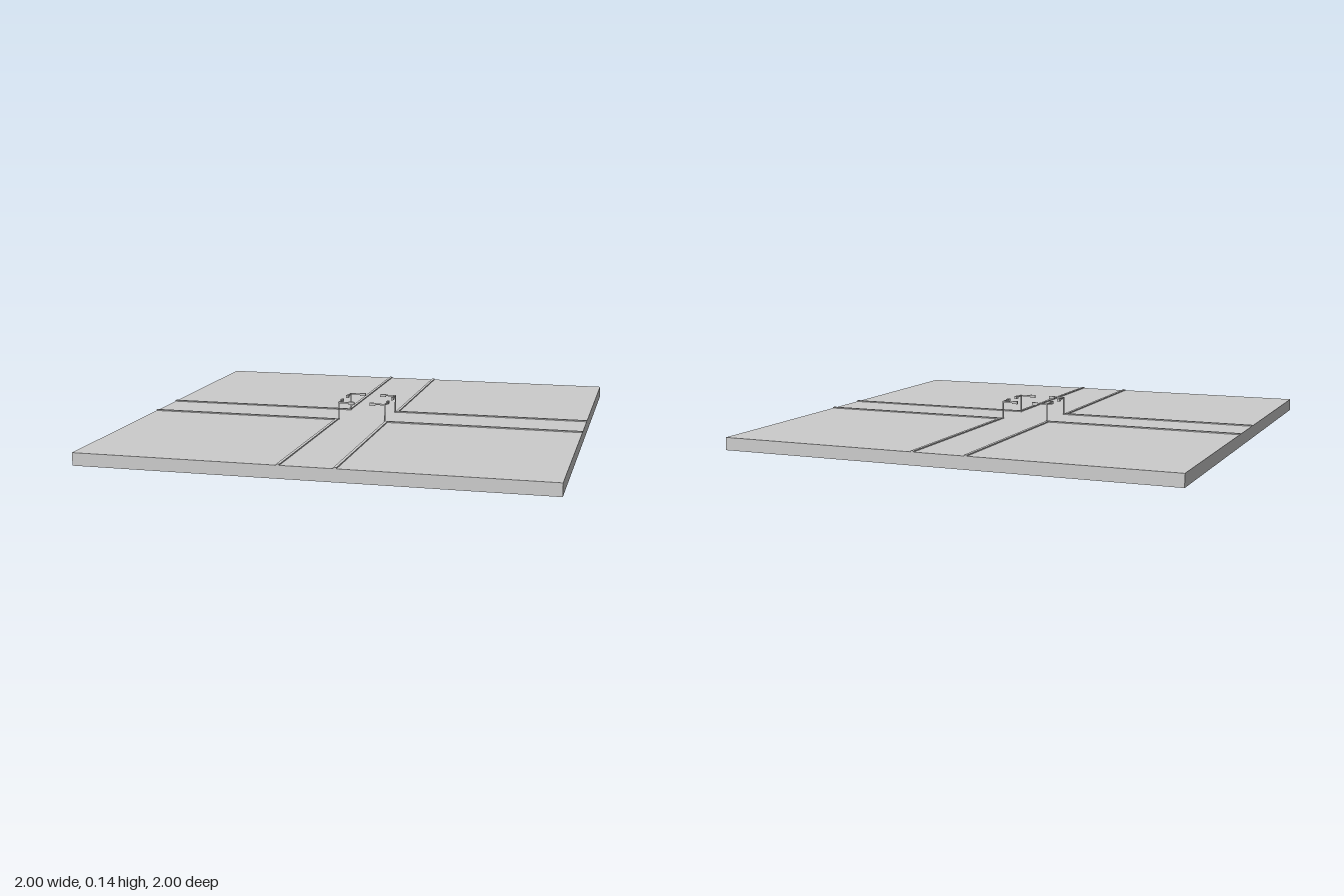
import * as THREE from 'three';

const material = new THREE.MeshStandardMaterial({ color: 0xcccccc, flatShading: true });

const SLAB = 0.055; // top of the ground slab
const KERB_IN = 0.11, KERB_OUT = 0.123; // kerb edges measured from the road axis
const POST = 0.108, ARM_Y = 0.134, ARM_END = 0.036;

function box(parent, name, w, h, d, x, y, z) {
  const mesh = new THREE.Mesh(new THREE.BoxGeometry(w, h, d), material);
  mesh.name = name;
  mesh.position.set(x, y, z);
  parent.add(mesh);
}

// L-shaped kerb bordering one block, drawn in plan and laid flat
function kerb() {
  const outline = [[KERB_IN, KERB_IN], [1, KERB_IN], [1, KERB_OUT], [KERB_OUT, KERB_OUT], [KERB_OUT, 1], [KERB_IN, 1]];
  const shape = new THREE.Shape(outline.map(([x, y]) => new THREE.Vector2(x, y)));
  const geometry = new THREE.ExtrudeGeometry(shape, { depth: 0.006, bevelEnabled: false });
  geometry.rotateX(-Math.PI / 2);
  const mesh = new THREE.Mesh(geometry, material);
  mesh.name = 'kerb';
  mesh.position.y = SLAB - 0.001;
  return mesh;
}

// Corner post with two arms at right angles, each ending in a signal head
function trafficLight() {
  const group = new THREE.Group();
  group.name = 'trafficLight';
  const post = new THREE.Mesh(new THREE.CylinderGeometry(0.003, 0.003, ARM_Y - SLAB, 8), material);
  post.name = 'post';
  post.position.set(POST, (ARM_Y + SLAB) / 2, -POST);
  group.add(post);
  const length = POST - ARM_END + 0.003;
  const mid = POST + 0.003 - length / 2;
  const head = 0.026;
  box(group, 'armAcross', length, 0.006, 0.006, mid, ARM_Y, -POST);
  box(group, 'armAlong', 0.006, 0.006, length, POST, ARM_Y, -mid);
  box(group, 'signalHeadAcross', head, 0.013, 0.01, ARM_END + head / 2, ARM_Y - 0.001, -POST);
  box(group, 'signalHeadAlong', 0.01, 0.013, head, POST, ARM_Y - 0.001, -ARM_END - head / 2);
  return group;
}

export function createModel() {
  const model = new THREE.Group();
  model.name = 'crossroads';
  box(model, 'groundSlab', 2, SLAB, 2, 0, SLAB / 2, 0);

  // The same corner repeated around the crossing
  for (let i = 0; i < 4; i++) {
    const corner = new THREE.Group();
    corner.name = 'corner' + (i + 1);
    corner.add(kerb(), trafficLight());
    corner.rotation.y = (i * Math.PI) / 2;
    model.add(corner);
  }
  return model;
}
